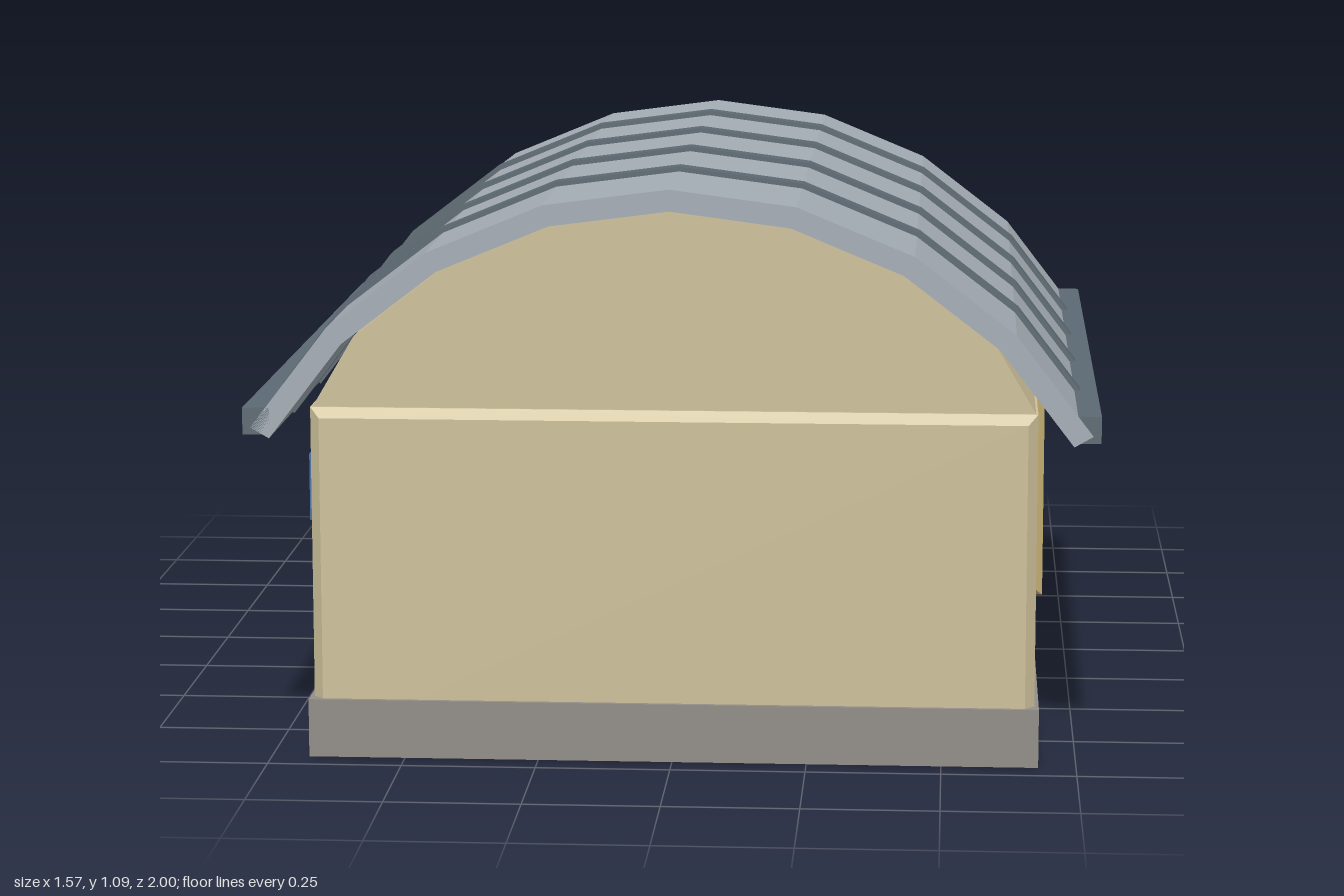
import * as THREE from 'three';

const mat = (name, color) => {
  const m = new THREE.MeshStandardMaterial({ color });
  m.name = name;
  return m;
};

export function createModel() {
  const M = {
    wall: mat('sand wall', 0xcdc09a),
    annex: mat('yellow plaster', 0xcdb878),
    concrete: mat('concrete', 0x928e88),
    roof: mat('sheet metal', 0xa5adb5),
    steel: mat('dark steel', 0x5d6a73),
    orange: mat('orange trim', 0xcd7f2e),
    blue: mat('blue glass', 0x4874a8),
    dark: mat('charcoal', 0x2f383c),
    crate: mat('crate wood', 0xbd9c6a),
    pallet: mat('pallet wood', 0x8f6238),
  };
  const root = new THREE.Group();
  root.name = 'warehouse';

  const add = (name, geo, m) => {
    const mesh = new THREE.Mesh(geo, m);
    mesh.name = name;
    root.add(mesh);
    return mesh;
  };
  // Box given by its limits on each axis
  const box = (name, m, x0, x1, y0, y1, z0, z1) => {
    const mesh = add(name, new THREE.BoxGeometry(x1 - x0, y1 - y0, z1 - z0), m);
    mesh.position.set((x0 + x1) / 2, (y0 + y1) / 2, (z0 + z1) / 2);
    return mesh;
  };
  // Straight extrusion of a shape between two z positions
  const prism = (name, m, points, z0, z1) => {
    const geo = new THREE.ExtrudeGeometry(new THREE.Shape(points), { depth: z1 - z0, bevelEnabled: false });
    geo.translate(0, 0, z0);
    return add(name, geo, m);
  };
  // Box with every edge chamfered by c
  const chamferBox = (name, m, x0, x1, y0, y1, z0, z1, c) => {
    const pts = [[x0 + c, y0 + c], [x1 - c, y0 + c], [x1 - c, y1 - c], [x0 + c, y1 - c]];
    const shape = new THREE.Shape(pts.map(([x, y]) => new THREE.Vector2(x, y)));
    const geo = new THREE.ExtrudeGeometry(shape, {
      depth: z1 - z0 - 2 * c, bevelEnabled: true, bevelSegments: 1, bevelSize: c, bevelThickness: c,
    });
    geo.translate(0, 0, z0 + c);
    return add(name, geo, m);
  };
  // Points of the eight-sided vault, from right to left
  const arc = (r, from = -4, to = 4) => {
    const pts = [];
    for (let i = to; i >= from; i--) {
      const a = (i * Math.PI) / 12;
      pts.push(new THREE.Vector2(Math.sin(a) * r, 0.19 + Math.cos(a) * r));
    }
    return pts;
  };
  const vault = (outer, inner) => [...arc(outer), ...arc(inner).reverse()];

  // Main hall
  box('plinth', M.concrete, -0.68, 0.68, 0, 0.11, -0.5, 0.945);
  chamferBox('hallWalls', M.wall, -0.672, 0.672, 0.01, 0.66, -0.49, 0.937, 0.018);
  prism('gable', M.wall, [
    new THREE.Vector2(-0.655, 0.64), new THREE.Vector2(0.655, 0.64), new THREE.Vector2(0.668, 0.66),
    ...arc(0.849, -3, 3).map((p) => new THREE.Vector2(p.x * 0.985, p.y)),
    new THREE.Vector2(-0.668, 0.66),
  ], -0.465, 0.915);

  // Vaulted roof with ribs and gutters
  prism('vaultRoof', M.roof, vault(0.89, 0.85), -0.565, 1);
  for (let i = 0; i < 4; i++) {
    const z = -0.277 + i * 0.328;
    prism('roofRib', M.steel, vault(0.899, 0.846), z - 0.02, z + 0.02);
  }
  for (const s of [-1, 1]) {
    const gutter = box('gutter', M.steel, 0.735, 0.785, 0.622, 0.672, -0.565, 1);
    gutter.position.x *= s;
  }

  // Rear loading door, lintel, vent and corner post
  box('loadingDoor', M.roof, -0.56, 0.02, 0, 0.5, -0.522, -0.48);
  box('doorLintel', M.dark, -0.59, 0.045, 0.49, 0.565, -0.55, -0.48);
  box('gableVent', M.steel, -0.17, 0.17, 0.735, 0.82, -0.51, -0.46);
  box('cornerPost', M.concrete, -0.715, -0.672, 0, 0.655, -0.53, -0.475);

  // Side windows of the hall
  for (const z of [-0.22, 0.15, 0.52]) {
    box('hallWindow', M.blue, -0.718, -0.66, 0.39, 0.52, z - 0.13, z + 0.13);
  }

  // Office annex
  chamferBox('annexWalls', M.annex, 0.065, 0.715, 0.002, 0.57, -0.965, -0.485, 0.016);
  box('annexFascia', M.orange, 0.05, 0.728, 0.47, 0.56, -0.978, -0.483);
  box('annexRoof', M.roof, 0.045, 0.732, 0.56, 0.6, -0.985, -0.48);
  box('annexDoor', M.steel, 0.465, 0.62, 0.003, 0.35, -1, -0.955);
  box('annexWindow', M.blue, 0.155, 0.4, 0.17, 0.34, -0.996, -0.955);
  for (let i = 0; i < 4; i++) {
    const x = 0.204 + i * 0.049;
    box('windowBar', M.dark, x - 0.005, x + 0.005, 0.18, 0.33, -1, -0.993);
  }
  box('annexSideWindow', M.blue, 0.03, 0.075, 0.17, 0.33, -0.845, -0.635);
  box('coolingUnit', M.roof, 0, 0.075, 0.05, 0.15, -0.815, -0.66);

  // Crate on a pallet
  box('pallet', M.pallet, -0.69, -0.44, 0, 0.037, -0.955, -0.77);
  box('crate', M.crate, -0.665, -0.465, 0.037, 0.157, -0.937, -0.787);

  return root;
}
